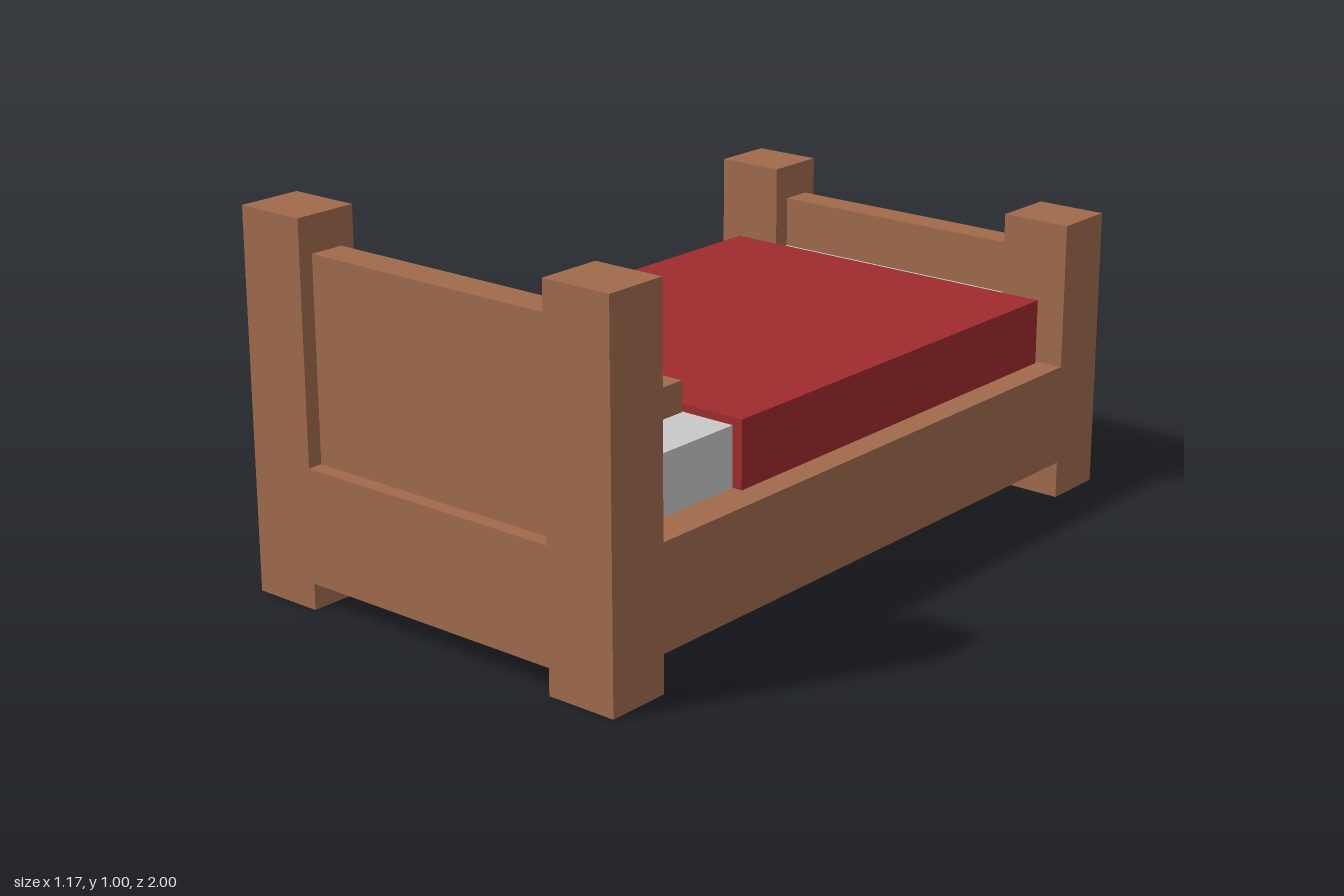
import * as THREE from 'three';

export function createModel() {
  const bed = new THREE.Group();
  bed.name = 'bed';

  const material = (name, color) => {
    const m = new THREE.MeshStandardMaterial({ color });
    m.name = name;
    return m;
  };
  const wood = material('brown wood', 0xa06a4c);
  const red = material('red cloth', 0x9e2b2d);
  const white = material('white linen', 0xc8c8c8);

  // Box given by its limits on each axis
  function box(name, mat, [x0, x1], [y0, y1], [z0, z1]) {
    const mesh = new THREE.Mesh(new THREE.BoxGeometry(x1 - x0, y1 - y0, z1 - z0), mat);
    mesh.position.set((x0 + x1) / 2, (y0 + y1) / 2, (z0 + z1) / 2);
    mesh.name = name;
    bed.add(mesh);
  }

  // Headboard at the front, lower footboard at the back
  const ends = [
    { name: 'head', side: 1, postTop: 0.995, panelTop: 0.9, inner: 0.865 },
    { name: 'foot', side: -1, postTop: 0.765, panelTop: 0.67, inner: 0.875 },
  ];
  for (const { name, side, postTop, panelTop, inner } of ends) {
    const span = (a, b) => (side > 0 ? [a, b] : [-b, -a]);
    box(name + 'PostLeft', wood, [0.39, 0.585], [0, postTop], span(0.825, 1));
    box(name + 'PostRight', wood, [-0.585, -0.39], [0, postTop], span(0.825, 1));
    box(name + 'Rail', wood, [-0.39, 0.39], [0.07, 0.37], span(inner, 1));
    box(name + 'Panel', wood, [-0.39, 0.39], [0.37, panelTop], span(inner, 0.96));
  }

  // Solid base whose sides form the side rails
  box('base', wood, [-0.585, 0.585], [0.1, 0.373], [-0.825, 0.825]);
  box('baseEndFront', wood, [-0.39, 0.39], [0.1, 0.37], [0.825, 0.865]);
  box('baseEndBack', wood, [-0.39, 0.39], [0.1, 0.37], [-0.875, -0.825]);

  // Bedding
  box('mattress', white, [-0.485, 0.485], [0.37, 0.53], [-0.874, 0.864]);
  box('blanket', red, [-0.513, 0.513], [0.373, 0.55], [-0.81, 0.455]);
  box('pillow', wood, [-0.333, 0.333], [0.53, 0.61], [0.46, 0.81]);

  return bed;
}
